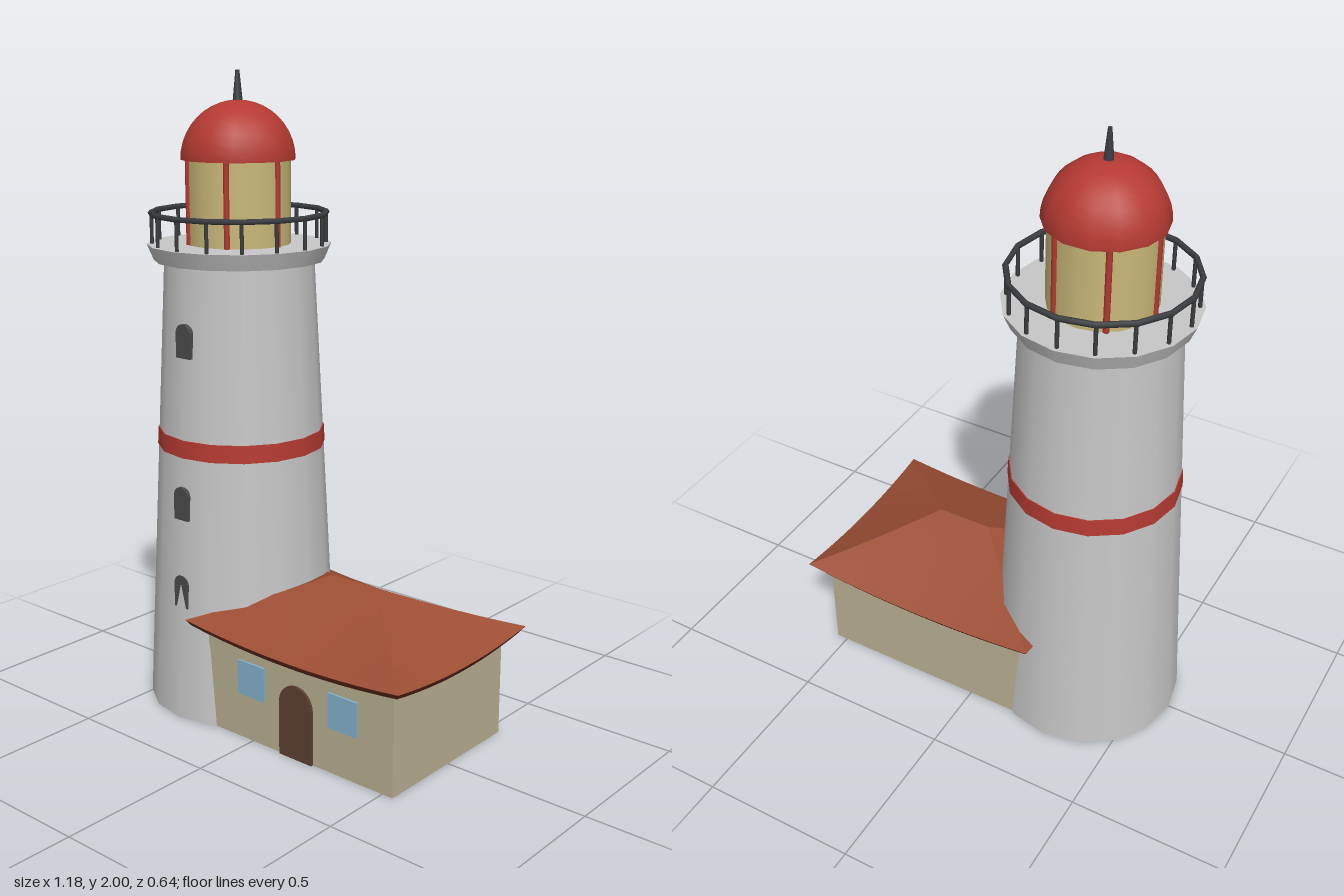
import * as THREE from 'three';

const mat = (name, color) => Object.assign(new THREE.MeshStandardMaterial({ color }), { name });
const SIDES = 16;
const TOWER_X = -0.29, HOUSE_X = 0.177;

export function createModel() {
  const M = {
    stone: mat('pale grey stone', 0xc6c6c6),
    red: mat('red paint', 0xb53a32),
    glass: mat('lantern yellow', 0xc9b878),
    iron: mat('dark iron', 0x3a3d3f),
    opening: mat('dark opening', 0x4a4a4a),
    wall: mat('cream wall', 0xb8ae90),
    roof: mat('roof tile', 0x9c4e34),
    trim: mat('roof trim', 0x6e2f20),
    door: mat('door brown', 0x5c4033),
    pane: mat('window blue', 0x83b0cb),
  };
  const model = new THREE.Group();
  model.name = 'lighthouse';
  const add = (parent, name, geometry, material, x = 0, y = 0, z = 0) => {
    const mesh = new THREE.Mesh(geometry, material);
    mesh.name = name;
    mesh.position.set(x, y, z);
    parent.add(mesh);
    return mesh;
  };
  const cyl = (rTop, rBottom, h, n = SIDES, open = false) =>
    new THREE.CylinderGeometry(rTop, rBottom, h, n, 1, open);

  // Round-topped plate with its base on y = 0
  const archPlate = (w, h, depth) => {
    const s = new THREE.Shape();
    s.moveTo(-w / 2, 0);
    s.lineTo(w / 2, 0);
    s.lineTo(w / 2, h - w / 2);
    s.absarc(0, h - w / 2, w / 2, 0, Math.PI, false);
    s.closePath();
    return new THREE.ExtrudeGeometry(s, { depth, bevelEnabled: false, curveSegments: 8 });
  };

  // Tower shaft, painted band and slit windows
  const tower = new THREE.Group();
  tower.name = 'tower';
  tower.position.x = TOWER_X;
  model.add(tower);
  add(tower, 'shaft', cyl(0.232, 0.305, 1.44), M.stone, 0, 0.72);
  add(tower, 'paintedBand', cyl(0.2625, 0.2655, 0.055), M.red, 0, 0.873);
  [[1.155, 0.253], [0.65, 0.276], [0.365, 0.2825]].forEach(([y, front]) =>
    add(tower, 'towerWindow', archPlate(0.058, 0.105, 0.02), M.opening, 0, y, front - 0.02));

  // Gallery deck with railing
  add(tower, 'galleryDeck', cyl(0.285, 0.264, 0.05), M.stone, 0, 1.455);
  const rail = add(tower, 'handRail', new THREE.TorusGeometry(0.27, 0.009, 6, SIDES), M.iron, 0, 1.574);
  rail.rotation.x = Math.PI / 2;
  for (let i = 0; i < SIDES; i++) {
    const a = (i / SIDES) * Math.PI * 2;
    add(tower, 'railPost', cyl(0.006, 0.006, 0.1, 6), M.iron,
      0.268 * Math.cos(a), 1.526, 0.268 * Math.sin(a));
  }

  // Lantern room, glazing bars, dome and spike
  add(tower, 'lanternGlass', cyl(0.16, 0.16, 0.26), M.glass, 0, 1.608);
  for (let i = 0; i < 6; i++) {
    const a = (i / 6) * Math.PI * 2;
    add(tower, 'glazingBar', cyl(0.009, 0.009, 0.26, 6), M.red,
      0.159 * Math.cos(a), 1.608, 0.159 * Math.sin(a));
  }
  add(tower, 'dome', new THREE.SphereGeometry(0.177, 14, 10, 0, Math.PI * 2, 0, Math.PI / 2),
    M.red, 0, 1.735);
  const domeBase = add(tower, 'domeBase', new THREE.CircleGeometry(0.177, 14), M.red, 0, 1.735);
  domeBase.rotation.x = Math.PI / 2;
  add(tower, 'spike', cyl(0.006, 0.016, 0.1, 8), M.iron, 0, 1.95);

  // House walls, door and windows
  const house = new THREE.Group();
  house.name = 'house';
  house.position.x = HOUSE_X;
  model.add(house);
  add(house, 'walls', new THREE.BoxGeometry(0.72, 0.32, 0.54), M.wall, 0, 0.16);
  add(house, 'door', archPlate(0.126, 0.235, 0.008), M.door, 0, 0, 0.27);
  for (const s of [-1, 1])
    add(house, 'houseWindow', new THREE.BoxGeometry(0.108, 0.11, 0.009), M.pane, s * 0.179, 0.2, 0.2725);

  // Hipped roof: each side is a grid between its eave, upturned at the corners, and the ridge
  const HX = 0.412, HZ = 0.321, RIDGE = 0.09;
  const corners = [[-1, 1], [1, 1], [1, -1], [-1, -1]];
  const lift = (u) => 0.025 * (2 * u - 1) ** 2;
  const lerp = THREE.MathUtils.lerp;
  const grid = (rows, point, cols = 12) => {
    const position = [], index = [];
    for (let j = 0; j <= rows; j++)
      for (let i = 0; i <= cols; i++) position.push(...point(i / cols, j));
    for (let j = 0; j < rows; j++)
      for (let i = 0; i < cols; i++) {
        const a = j * (cols + 1) + i, b = a + cols + 1;
        index.push(a, a + 1, b + 1, a, b + 1, b);
      }
    const g = new THREE.BufferGeometry();
    g.setAttribute('position', new THREE.Float32BufferAttribute(position, 3));
    g.setIndex(index);
    g.computeVertexNormals();
    return g;
  };
  corners.forEach((c, k) => {
    const d = corners[(k + 1) % 4];
    const at = (u, inset) => [
      lerp(c[0], d[0], u) * (HX - inset), lerp(c[1], d[1], u) * (HZ - inset)];
    add(house, 'roofSlope', grid(6, (u, j) => {
      const v = j / 6;
      const [x, z] = at(u, 0);
      const y = lerp(0.325, 0.486, v) + lift(u) * (1 - v) ** 2;
      return [lerp(x, lerp(c[0], d[0], u) * RIDGE, v), y, z * (1 - v)];
    }), M.roof);
    // Eave edge and soffit, from the wall outwards
    const profile = [[0.06, -0.022], [0.014, -0.02], [0, 0]];
    add(house, 'eaveTrim', grid(2, (u, j) => {
      const [x, z] = at(u, profile[j][0]);
      return [x, 0.325 + lift(u) + profile[j][1], z];
    }), M.trim);
  });

  return model;
}
